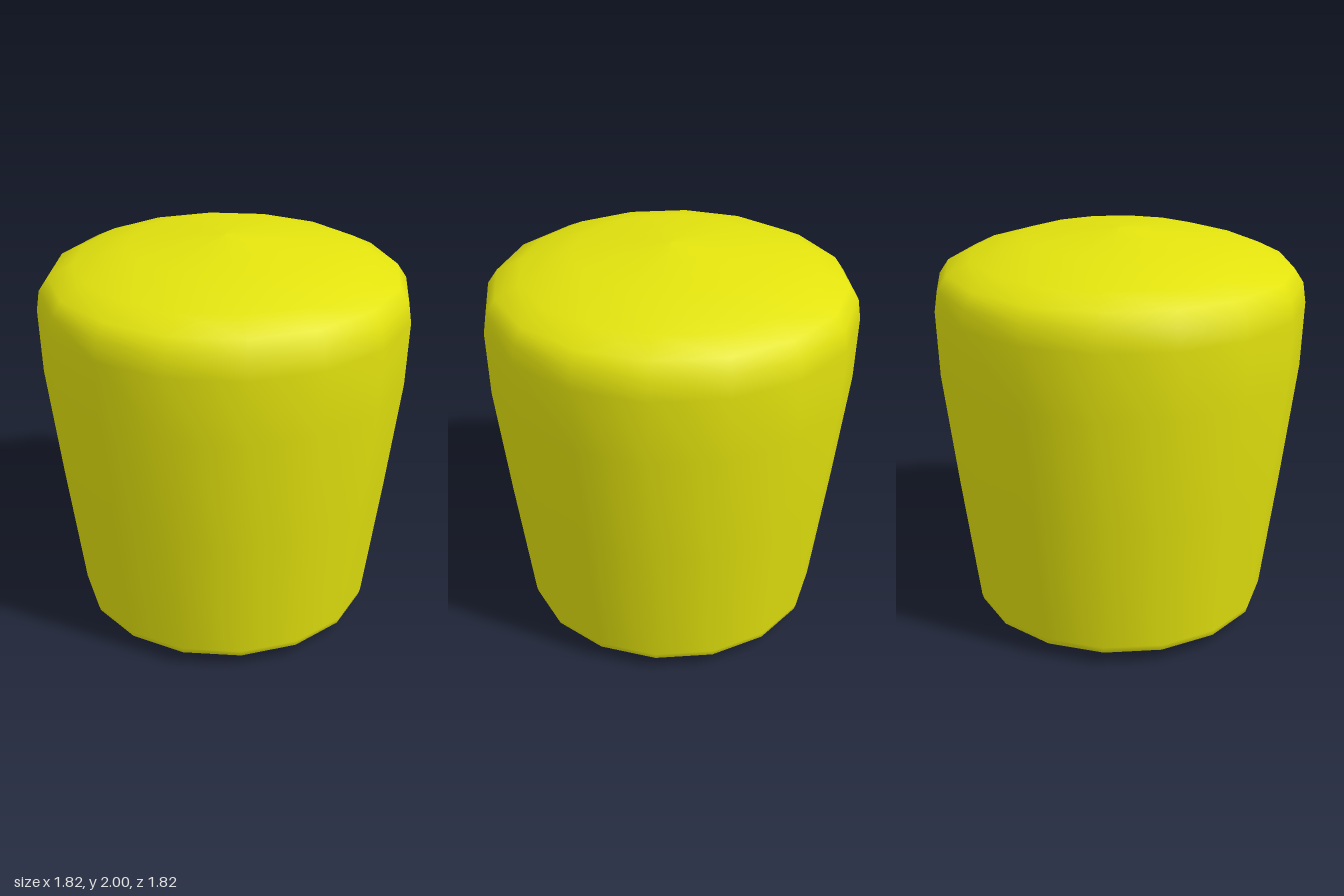
import * as THREE from 'three';

export function createModel() {
  const model = new THREE.Group();
  const yellow = new THREE.MeshStandardMaterial({ color: 0xe2e20e });
  const yellowFlat = new THREE.MeshStandardMaterial({ color: 0xe2e20e, flatShading: true });
  const red = new THREE.MeshStandardMaterial({ color: 0xc80a12, flatShading: true });

  const add = (name, geometry, material, parent = model) => {
    const mesh = new THREE.Mesh(geometry, material);
    mesh.name = name;
    parent.add(mesh);
    return mesh;
  };
  const lathe = (points, sides) =>
    new THREE.LatheGeometry(points.map(([r, y]) => new THREE.Vector2(r, y)), sides);

  // Paper shade: outer wall from rim to crown, plus a thin inner wall
  const outer = [
    [0.725, 0.065], [0.738, 0.075], [0.747, 0.105], [0.832, 0.76], [0.9, 1.33], [0.912, 1.65],
    [0.897, 1.75], [0.85, 1.82], [0.73, 1.88], [0.47, 1.958], [0, 2],
  ];
  const wall = 0.018;
  const inner = outer.slice(2).reverse().map(([r, y]) =>
    [Math.max(0, r - wall), y > 1.7 ? y - wall : y]);
  add('paperShade', lathe([...inner, [0.71, 0.065], ...outer], 16), yellow);

  // Two crossing struts that carry the burner
  for (const [i, angle] of [Math.PI / 4, -Math.PI / 4].entries()) {
    const strut = add('strut' + (i + 1), new THREE.BoxGeometry(1.45, 0.024, 0.024), yellowFlat);
    strut.position.y = 0.11;
    strut.rotation.y = angle;
  }

  // Faceted burner dish
  add('burner', lathe([[0, 0], [0.165, 0.028], [0.21, 0.06], [0.2, 0.115], [0.15, 0.135], [0, 0.135]], 8), yellowFlat);

  // Flame: rings of spikes, taller toward the middle
  const flame = new THREE.Group();
  flame.name = 'flame';
  model.add(flame);
  const rings = [
    { count: 1, ring: 0, radius: 0.06, height: 0.4 },
    { count: 5, ring: 0.045, radius: 0.04, height: 0.26 },
    { count: 9, ring: 0.085, radius: 0.035, height: 0.15 },
  ];
  for (const { count, ring, radius, height } of rings) {
    for (let i = 0; i < count; i++) {
      const a = (i / count) * Math.PI * 2 + ring * 10;
      const h = height * (i % 2 ? 0.85 : 1);
      const spike = add('flameSpike', new THREE.ConeGeometry(radius, h, 5), red, flame);
      spike.position.set(Math.cos(a) * ring, 0.13 + h / 2, Math.sin(a) * ring);
    }
  }
  return model;
}
